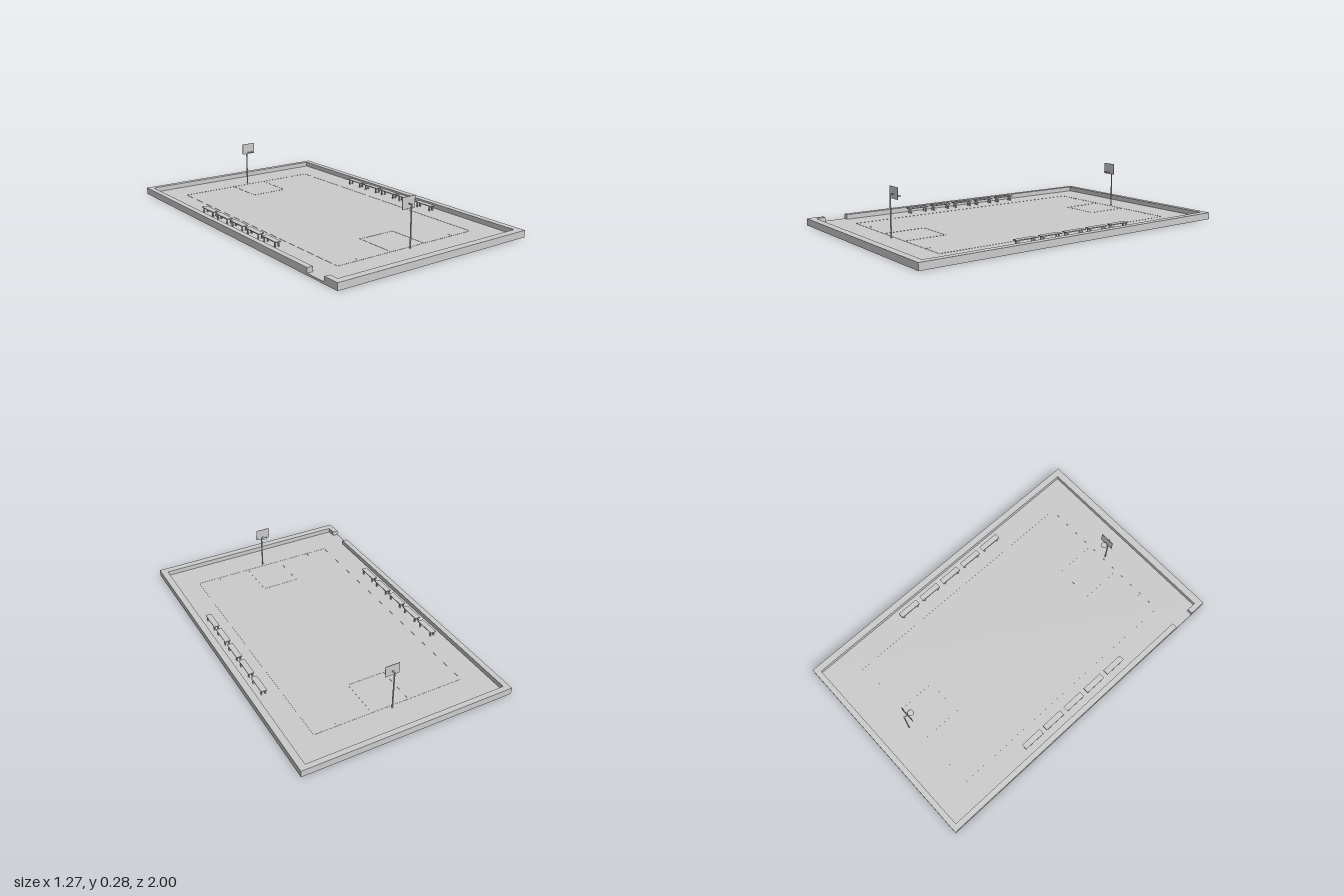
import * as THREE from 'three';

const FLOOR = 0.012, WALL = 0.04;
const CX = -0.005, CZ = -0.005; // centre of the playing area
const grey = new THREE.MeshStandardMaterial({ color: 0xcccccc, side: THREE.DoubleSide });

function add(parent, name, geometry, x = 0, y = 0, z = 0) {
  const mesh = new THREE.Mesh(geometry, grey);
  mesh.name = name;
  mesh.position.set(x, y, z);
  parent.add(mesh);
  return mesh;
}

const box = (w, h, d) => new THREE.BoxGeometry(w, h, d);

// Hoop on a post; local +z points to mid-court
function createHoop() {
  const hoop = new THREE.Group();
  hoop.name = 'hoop';
  add(hoop, 'post', new THREE.CylinderGeometry(0.004, 0.004, 0.25 - FLOOR, 12), 0, (0.25 + FLOOR) / 2, 0);
  add(hoop, 'arm', box(0.005, 0.005, 0.024), 0, 0.246, 0.011);
  add(hoop, 'backboard', box(0.086, 0.066, 0.003), 0, 0.252, 0.022);
  add(hoop, 'rimBracket', box(0.006, 0.003, 0.006), 0, 0.232, 0.025);
  add(hoop, 'rim', new THREE.TorusGeometry(0.017, 0.0015, 8, 28).rotateX(Math.PI / 2), 0, 0.232, 0.043);
  return hoop;
}

// Bench: long seat on two pairs of short legs
function createBench() {
  const bench = new THREE.Group();
  bench.name = 'bench';
  add(bench, 'seat', box(0.034, 0.005, 0.134), 0, 0.0425, 0);
  for (const z of [-0.052, 0.052]) {
    for (const x of [-0.011, 0.011]) add(bench, 'benchLeg', box(0.006, 0.04 - FLOOR, 0.008), x, (0.04 + FLOOR) / 2, z);
  }
  return bench;
}

// Thin painted arc lying on the floor
function arcLine(parent, name, z, radius, start, sweep) {
  const ring = new THREE.RingGeometry(radius - 0.002, radius + 0.002, 64, 1, start, sweep).rotateX(-Math.PI / 2);
  add(parent, name, ring, 0, FLOOR + 0.0008, z);
}

export function createModel() {
  const model = new THREE.Group();
  model.name = 'basketballCourt';

  // Floor slab
  add(model, 'floor', box(1.266, FLOOR, 2), 0, FLOOR / 2, 0);

  // Low boundary wall with an entrance gap near the front of the -x side
  const outline = [
    [-0.633, 0.765], [-0.633, -1], [0.633, -1], [0.633, 1], [-0.633, 1], [-0.633, 0.9],
    [-0.6, 0.9], [-0.6, 0.957], [0.594, 0.957], [0.594, -0.967], [-0.6, -0.967], [-0.6, 0.765],
  ];
  const wall = new THREE.Shape(outline.map(([x, z]) => new THREE.Vector2(x, -z)));
  const wallGeometry = new THREE.ExtrudeGeometry(wall, { depth: WALL - FLOOR, bevelEnabled: false });
  add(model, 'boundaryWall', wallGeometry.rotateX(-Math.PI / 2), 0, FLOOR, 0);

  // Court markings
  const lines = new THREE.Group();
  lines.name = 'courtLines';
  lines.position.set(CX, 0, CZ);
  model.add(lines);
  const t = 0.004, h = 0.001, y = FLOOR + h / 2;
  for (const s of [-1, 1]) {
    add(lines, 'sideLine', box(t, h, 1.56), s * 0.455, y, 0);
    add(lines, 'baseLine', box(0.91, h, t), 0, y, s * 0.78);
    add(lines, 'freeThrowLine', box(0.228, h, t), 0, y, s * 0.53);
    for (const x of [-0.113, 0.113]) add(lines, 'keyLine', box(t, h, 0.25), x, y, s * 0.655);
    arcLine(lines, 'threePointLine', s * 0.75, 0.32, s > 0 ? 0 : Math.PI, Math.PI);
    for (const x of [-0.32, 0.32]) add(lines, 'threePointEnd', box(t, h, 0.03), x, y, s * 0.765);
  }
  arcLine(lines, 'centreCircle', 0, 0.146, 0, Math.PI * 2);

  // Hoops at both ends
  for (const s of [-1, 1]) {
    const hoop = createHoop();
    hoop.position.set(CX, 0, CZ + s * 0.798);
    hoop.rotation.y = s > 0 ? Math.PI : 0;
    model.add(hoop);
  }

  // A row of five benches along each side
  for (const x of [-0.544, 0.543]) {
    for (let i = -2; i <= 2; i++) {
      const bench = createBench();
      bench.position.set(x, 0, -0.007 + i * 0.163);
      model.add(bench);
    }
  }
  return model;
}
